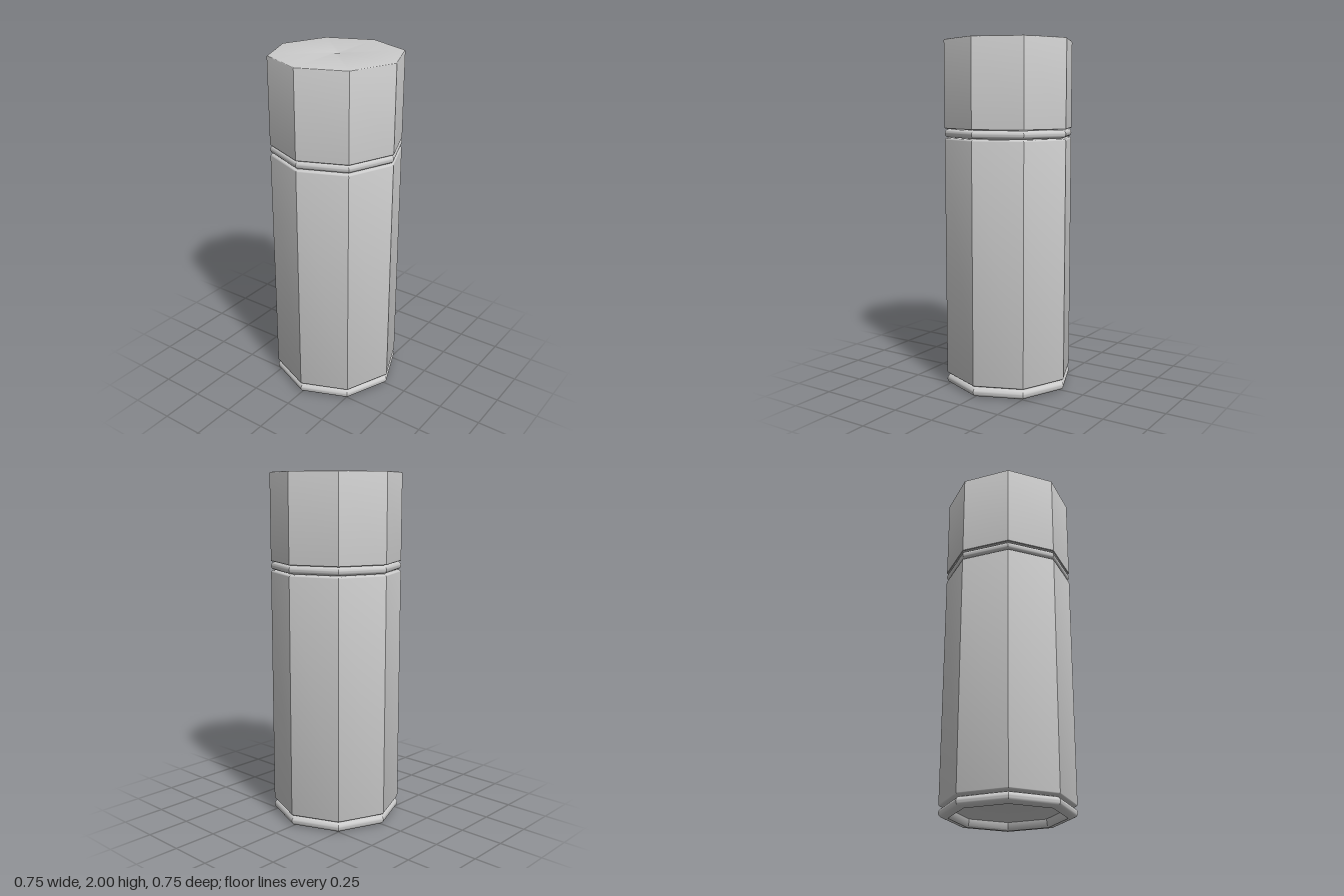
import * as THREE from 'three';
import { toCreasedNormals } from 'three/addons/utils/BufferGeometryUtils.js';

const R = 0.373;
const SIDES = 8;
const material = new THREE.MeshStandardMaterial({ color: 0xcccccc });

// Quarter-round points about (r, y), from angle a to b in degrees
function arc(r, y, radius, a, b, steps = 6) {
  return Array.from({ length: steps + 1 }, (_, i) => {
    const t = THREE.MathUtils.degToRad(a + ((b - a) * i) / steps);
    return [r + radius * Math.cos(t), y + radius * Math.sin(t)];
  });
}

// Eight-sided turned part: soft along its profile, sharp between the flat sides
function turned(name, profile) {
  const points = profile.map(([r, y]) => new THREE.Vector2(Math.max(r, 0), y));
  const geometry = toCreasedNormals(new THREE.LatheGeometry(points, SIDES), 0.6);
  const mesh = new THREE.Mesh(geometry, material);
  mesh.name = name;
  return mesh;
}

export function createModel() {
  const group = new THREE.Group();
  group.name = 'octagonalFlask';

  // Foot ring with a hollowed, gently domed underside
  const dome = Array.from({ length: 7 }, (_, i) => {
    const t = i / 6;
    return [0.305 * t, 0.045 + 0.045 * (1 - t * t)];
  });
  group.add(turned('footRing', [
    ...dome,
    [0.312, 0.008],
    [0.32, 0],
    ...arc(R - 0.027, 0.029, 0.027, -90, 90, 12),
    [0.335, 0.058],
  ]));

  // Main body, rounded at both ends
  group.add(turned('body', [
    [0.33, 0.056],
    [0.345, 0.06],
    ...arc(R - 0.014, 0.076, 0.014, -90, 0),
    ...arc(R - 0.014, 1.436, 0.014, 0, 90),
    [0.335, 1.452],
    [0.335, 1.46],
  ]));

  // Rounded seal between body and cap
  group.add(turned('neckRing', [
    [0.335, 1.452],
    ...arc(R - 0.023, 1.476, 0.023, -90, 90, 12),
    [0.335, 1.5],
  ]));

  // Cap with a tiny dimple in the middle of its top
  group.add(turned('cap', [
    [0.33, 1.502],
    [R - 0.003, 1.502],
    [R, 1.505],
    [R, 1.99],
    ...arc(R - 0.008, 1.992, 0.008, 0, 90, 4),
    [0.022, 2],
    [0.015, 1.998],
    [0.008, 1.995],
    [0, 1.994],
  ]));

  return group;
}
